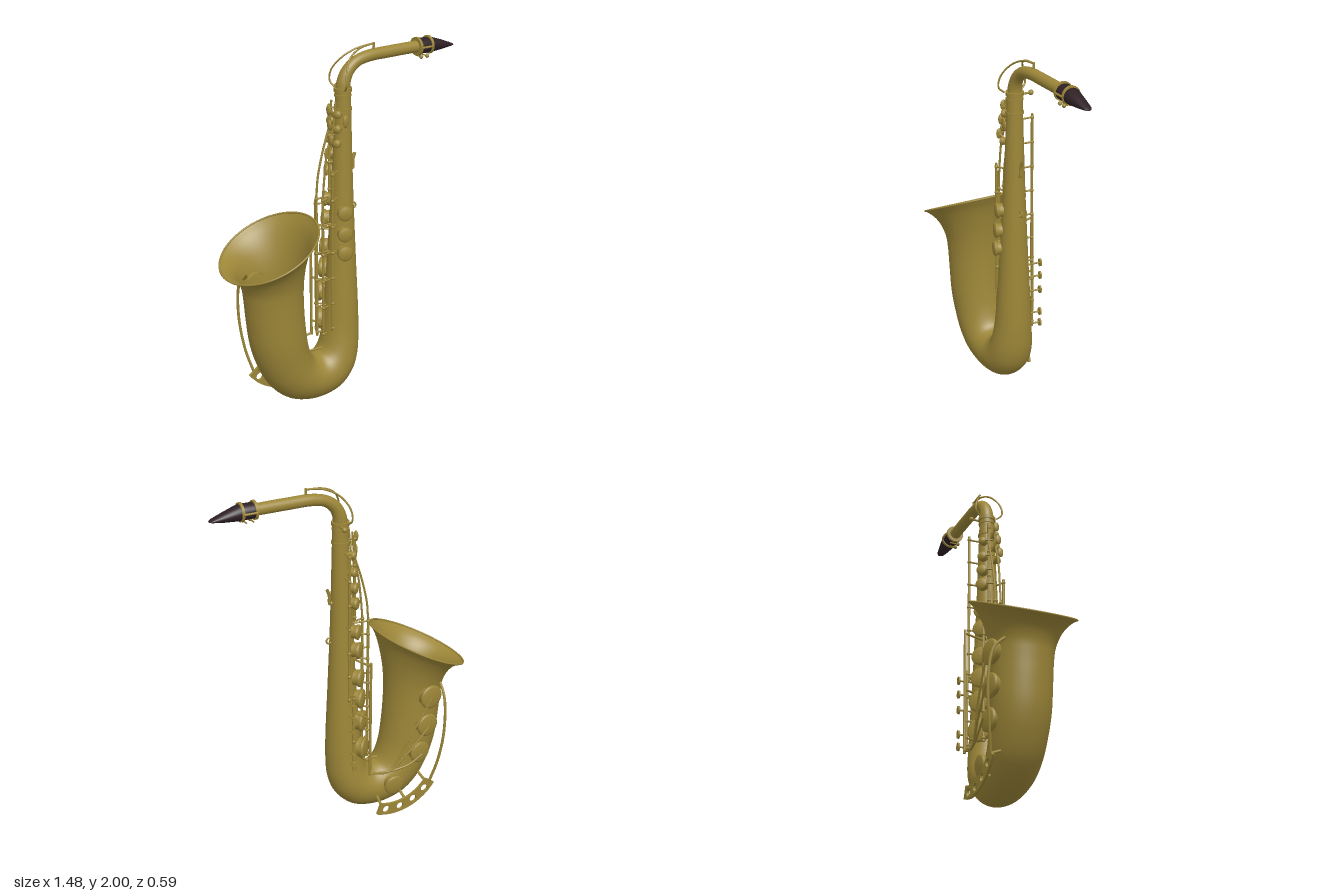
import * as THREE from 'three';

const brass = new THREE.MeshStandardMaterial({ color: 0x9c8638, side: THREE.DoubleSide });
const ebony = new THREE.MeshStandardMaterial({ color: 0x2e2024, side: THREE.DoubleSide });
const V = (x, y, z = 0) => new THREE.Vector3(x, y, z);
const UP = V(0, 1, 0);

function add(parent, name, geometry, material = brass) {
  const mesh = new THREE.Mesh(geometry, material);
  mesh.name = name;
  parent.add(mesh);
  return mesh;
}

// Bent tapering tube: each ring spans an outer and an inner profile point
function loft(outer, inner, sub, depth, sides = 48) {
  const line = pts => {
    const p = pts.map(q => V(q[0], q[1]));
    return sub === 1 ? p : new THREE.CatmullRomCurve3(p).getPoints((p.length - 1) * sub);
  };
  const a = line(outer), b = line(inner), pos = [], idx = [];
  a.forEach((o, i) => {
    const c = o.clone().add(b[i]).multiplyScalar(0.5), u = o.clone().sub(c);
    const rz = depth ? depth[i] : u.length();
    for (let j = 0; j < sides; j++) {
      const t = j / sides * Math.PI * 2;
      pos.push(c.x + u.x * Math.cos(t), c.y + u.y * Math.cos(t), rz * Math.sin(t));
      if (i + 1 < a.length) {
        const p = i * sides + j, q = i * sides + (j + 1) % sides;
        idx.push(p, q, p + sides, q, q + sides, p + sides);
      }
    }
  });
  const g = new THREE.BufferGeometry();
  g.setAttribute('position', new THREE.Float32BufferAttribute(pos, 3));
  g.setIndex(idx);
  g.computeVertexNormals();
  return g;
}

// Straight rod between two points
function rod(parent, name, a, b, r = 0.006, material = brass) {
  const d = b.clone().sub(a);
  const m = add(parent, name, new THREE.CylinderGeometry(r, r, d.length(), 10), material);
  m.position.copy(a).addScaledVector(d, 0.5);
  m.quaternion.setFromUnitVectors(UP, d.normalize());
  return m;
}

function wire(parent, name, pts, r = 0.005) {
  return add(parent, name, new THREE.TubeGeometry(new THREE.CatmullRomCurve3(pts), 32, r, 8));
}

function ball(parent, name, p, r) {
  const m = add(parent, name, new THREE.SphereGeometry(r, 12, 8));
  m.position.copy(p);
  return m;
}

// Domed key cup on its tone hole chimney
function cup(parent, name, p, normal, r) {
  const prof = [[0.88, -0.025], [0.88, 0.004], [1, 0.004], [1, 0.015], [0.85, 0.02], [0.4, 0.024], [0, 0.025]];
  const g = new THREE.LatheGeometry(prof.map(q => new THREE.Vector2(q[0] * r, q[1])), 24);
  const m = add(parent, name, g);
  m.position.copy(p);
  m.quaternion.setFromUnitVectors(UP, normal.clone().normalize());
  return m;
}

// Point on (or off) the main tube at a height and an angle around it
const tubeRadius = y => 0.0425 + (1.75 - y) * 0.046;
const onTube = (y, deg, off = 0) => {
  const t = deg * Math.PI / 180, r = tubeRadius(y) + off;
  return V(-0.014 * (1.75 - y) / 1.25 + r * Math.cos(t), y, r * Math.sin(t));
};
const facing = deg => V(Math.cos(deg * Math.PI / 180), 0, Math.sin(deg * Math.PI / 180));

function ring(parent, name, y, r, h) {
  const m = add(parent, name, new THREE.CylinderGeometry(r, r, h, 32));
  m.position.y = y;
}

export function createModel() {
  const model = new THREE.Group();

  // Conical body, bow and flared bell as one sweep
  add(model, 'bodyAndBell', loft(
    [[0.043, 1.78], [0.045, 1.7], [0.057, 1.2], [0.072, 0.8], [0.084, 0.5], [0.085, 0.36], [0.072, 0.22], [0.032, 0.12], [-0.05, 0.04],
      [-0.14, 0.01], [-0.25, 0.008], [-0.38, 0.05], [-0.48, 0.14], [-0.55, 0.27], [-0.59, 0.4], [-0.61, 0.55], [-0.622, 0.68], [-0.633, 0.75], [-0.665, 0.81], [-0.7, 0.837], [-0.74, 0.85]],
    [[-0.04, 1.78], [-0.042, 1.7], [-0.066, 1.2], [-0.09, 0.8], [-0.112, 0.5], [-0.12, 0.41], [-0.13, 0.34], [-0.142, 0.3], [-0.16, 0.275],
      [-0.18, 0.266], [-0.2, 0.268], [-0.223, 0.28], [-0.243, 0.31], [-0.265, 0.38], [-0.28, 0.48], [-0.29, 0.6], [-0.293, 0.72], [-0.288, 0.82], [-0.273, 0.93], [-0.25, 1.03], [-0.22, 1.1]], 5));
  const rim = add(model, 'bellRim', new THREE.TorusGeometry(0.288, 0.005, 8, 64));
  rim.position.set(-0.48, 0.975, 0);
  rim.quaternion.setFromUnitVectors(V(0, 0, 1), V(-0.25, 0.52).normalize());

  // Neck, collars and tightening screw
  add(model, 'neck', loft(
    [[-0.04, 1.76], [-0.032, 1.82], [0, 1.885], [0.06, 1.935], [0.15, 1.962], [0.3, 1.967], [0.5, 1.966]],
    [[0.04, 1.76], [0.043, 1.81], [0.06, 1.85], [0.1, 1.885], [0.17, 1.9], [0.3, 1.902], [0.5, 1.902]], 6, null, 32));
  [[1.775, 0.049, 0.02], [1.745, 0.047, 0.012], [1.67, 0.05, 0.012]].forEach(c => ring(model, 'collar', ...c));
  rod(model, 'neckScrew', V(0.02, 1.77, -0.03), V(0.02, 1.77, -0.085));
  ball(model, 'neckScrewHead', V(0.02, 1.77, -0.088), 0.015);

  // Octave key: two arms round the neck meeting above it
  for (const s of [-1, 1]) {
    wire(model, 'octaveKeyArm', [V(0.2, 1.995), V(0.1, 1.982, 0.01 * s), V(0.02, 1.94, 0.035 * s),
      V(-0.025, 1.87, 0.072 * s), V(-0.03, 1.81, 0.08 * s), V(-0.02, 1.78, 0.05 * s)]);
  }
  rod(model, 'octavePad', V(0.2, 2), V(0.2, 1.955), 0.007);

  // Mouthpiece with ligature
  add(model, 'mouthpiece', loft(
    [[0.485, 1.935], [0.485, 1.976], [0.485, 1.976], [0.58, 1.976], [0.66, 1.948], [0.72, 1.924], [0.738, 1.915], [0.74, 1.91]],
    [[0.485, 1.935], [0.485, 1.892], [0.485, 1.892], [0.58, 1.89], [0.66, 1.896], [0.72, 1.904], [0.738, 1.907], [0.74, 1.91]],
    1, [0, 0.048, 0.048, 0.047, 0.035, 0.024, 0.014, 0]), ebony);
  for (const x of [0.492, 0.568]) {
    const band = add(model, 'ligatureBand', new THREE.CylinderGeometry(0.051, 0.051, 0.015, 32));
    band.rotation.z = Math.PI / 2;
    band.position.set(x, 1.934, 0);
  }
  for (const z of [-0.049, 0.049]) rod(model, 'ligatureBar', V(0.492, 1.934, z), V(0.568, 1.934, z));
  for (const x of [0.505, 0.545]) {
    rod(model, 'ligatureScrew', V(x, 1.878, -0.025), V(x, 1.878, 0.025), 0.004);
    ball(model, 'ligatureScrewHead', V(x, 1.878, 0.025), 0.011);
  }

  // Thumb hook and strap ring on the rear
  wire(model, 'thumbHook', [V(0.045, 1.33), V(0.064, 1.32), V(0.068, 1.37), V(0.08, 1.405)], 0.009);
  const strap = add(model, 'strapRing', new THREE.TorusGeometry(0.016, 0.005, 8, 16));
  strap.position.set(0.07, 1.1, 0);

  // Main stack of key cups, growing toward the bow
  [[1.6, 0.022], [1.5, 0.026], [1.41, 0.03], [1.32, 0.034], [1.15, 0.042], [1.04, 0.046], [0.87, 0.05], [0.74, 0.055], [0.6, 0.06], [0.43, 0.065]]
    .forEach(([y, r]) => {
      cup(model, 'stackKeyCup', onTube(y, 225, 0.014), facing(225), r);
      rod(model, 'stackKeyArm', onTube(y, 225, 0.036), onTube(y, 180, 0.035), 0.005);
    });

  // Side key cups and small upper keys
  for (const y of [1.1, 0.98, 0.87]) cup(model, 'sideKeyCup', onTube(y, 113, 0.01), facing(105), 0.042);
  [1.68, 1.6, 1.52].forEach((y, i) => {
    cup(model, 'upperKeyCup', onTube(y - 0.03, 150, 0.008), facing(145), 0.022);
    const palm = ball(model, 'palmKey', onTube(y, 172 - i * 6, 0.055), 0.03);
    palm.scale.set(0.35, 1, 0.6);
    rod(model, 'palmKeyArm', onTube(y - 0.06, 180), onTube(y, 172 - i * 6, 0.05));
  });
  const trill = ball(model, 'frontKey', V(-0.02, 1.61, 0.057), 0.035);
  trill.scale.set(0.5, 1, 0.25);

  // Long hinge rods with posts: x, z, bottom, top
  [[-0.16, -0.02, 0.36, 1.2], [-0.145, 0.02, 0.36, 1.2], [-0.13, -0.075, 0.36, 1.15], [-0.105, 0.055, 0.4, 1.35],
    [-0.075, -0.02, 1.2, 1.7], [0, -0.108, 0.75, 1.64], [-0.02, -0.125, 0.35, 0.8]].forEach(([x, z, lo, hi]) => {
    rod(model, 'hingeRod', V(x, lo, z), V(x, hi, z), 0.0075);
    const n = Math.max(3, Math.round((hi - lo) / 0.16));
    for (let i = 0; i <= n; i++) {
      const y = lo + 0.02 + (hi - lo - 0.04) * i / n, deg = Math.atan2(z, x) * 180 / Math.PI;
      rod(model, 'post', onTube(y, deg, -0.01), V(x, y, z), 0.005);
      ball(model, 'postHead', V(x, y, z), 0.011);
    }
  });
  [[-0.16, -0.02], [-0.145, 0.02]].forEach(([x, z]) => wire(model, 'bentLever',
    [V(x, 1.18, z), V(x + 0.01, 1.3, z), V(-0.115, 1.45, z), V(-0.075, 1.58, z), V(-0.06, 1.72, z)], 0.006));

  // Touch pieces beside the lower body
  [0.74, 0.66, 0.57, 0.43, 0.36].forEach(y => {
    rod(model, 'touchArm', onTube(y, 270, -0.01), V(-0.005, y, -0.165), 0.005);
    const t = rod(model, 'touchPiece', V(-0.005, y, -0.162), V(-0.005, y, -0.172), 0.02);
    t.scale.set(0.8, 1, 1.2);
  });

  // Bell keys: hinge, levers passing under the gap, and large cups
  rod(model, 'bellKeyRod', V(-0.1, 0.29, -0.17), V(-0.1, 1, -0.17), 0.008);
  for (const y of [0.38, 0.65, 0.98]) rod(model, 'bellKeyPost', V(-0.06, y, -0.05), V(-0.1, y, -0.17));
  [[-0.475, 0.71], [-0.46, 0.53], [-0.42, 0.36]].forEach(([x, y], i) => {
    cup(model, 'bellKeyCup', V(x, y, -0.178 + i * 0.008), V(-0.15, 0, -1), 0.07 - i * 0.003);
    wire(model, 'bellKeyLever', [V(-0.1, 0.3, -0.17), V(-0.22, 0.285, -0.175), V(-0.34, 0.28 + (y - 0.3) * 0.5, -0.195), V(x, y, -0.203)], 0.006);
  });
  cup(model, 'bowKeyCup', V(-0.27, 0.17, -0.142), V(0, -0.1, -1), 0.06);
  rod(model, 'bowBrace', V(-0.13, 0.29), V(-0.25, 0.29));

  // Pierced key guard around the bow with its long arms
  const deg = Math.PI / 180, cx = -0.25, cy = 0.325;
  const plate = new THREE.Shape();
  plate.absarc(cx, cy, 0.32, 215 * deg, 290 * deg, false);
  plate.absarc(cx, cy, 0.25, 290 * deg, 215 * deg, true);
  for (const a of [226, 244, 262, 280]) {
    const hole = new THREE.Path();
    hole.absarc(cx + 0.285 * Math.cos(a * deg), cy + 0.285 * Math.sin(a * deg), 0.022, 0, Math.PI * 2, true);
    plate.holes.push(hole);
  }
  const guard = add(model, 'keyGuard', new THREE.ExtrudeGeometry(plate, { depth: 0.014, bevelEnabled: false, curveSegments: 20 }));
  guard.position.z = -0.19;
  wire(model, 'guardArm', [V(-0.56, 0.79, -0.11), V(-0.555, 0.7, -0.2), V(-0.545, 0.5, -0.228), V(-0.52, 0.3, -0.21), V(-0.48, 0.15, -0.185)], 0.008);
  for (const a of [218, 253, 288]) {
    const x = cx + 0.26 * Math.cos(a * deg), y = cy + 0.26 * Math.sin(a * deg);
    rod(model, 'guardFoot', V(x, y, -0.18), V(x * 0.9 - 0.025, y + 0.05, -0.07), 0.008);
  }
  return model;
}
